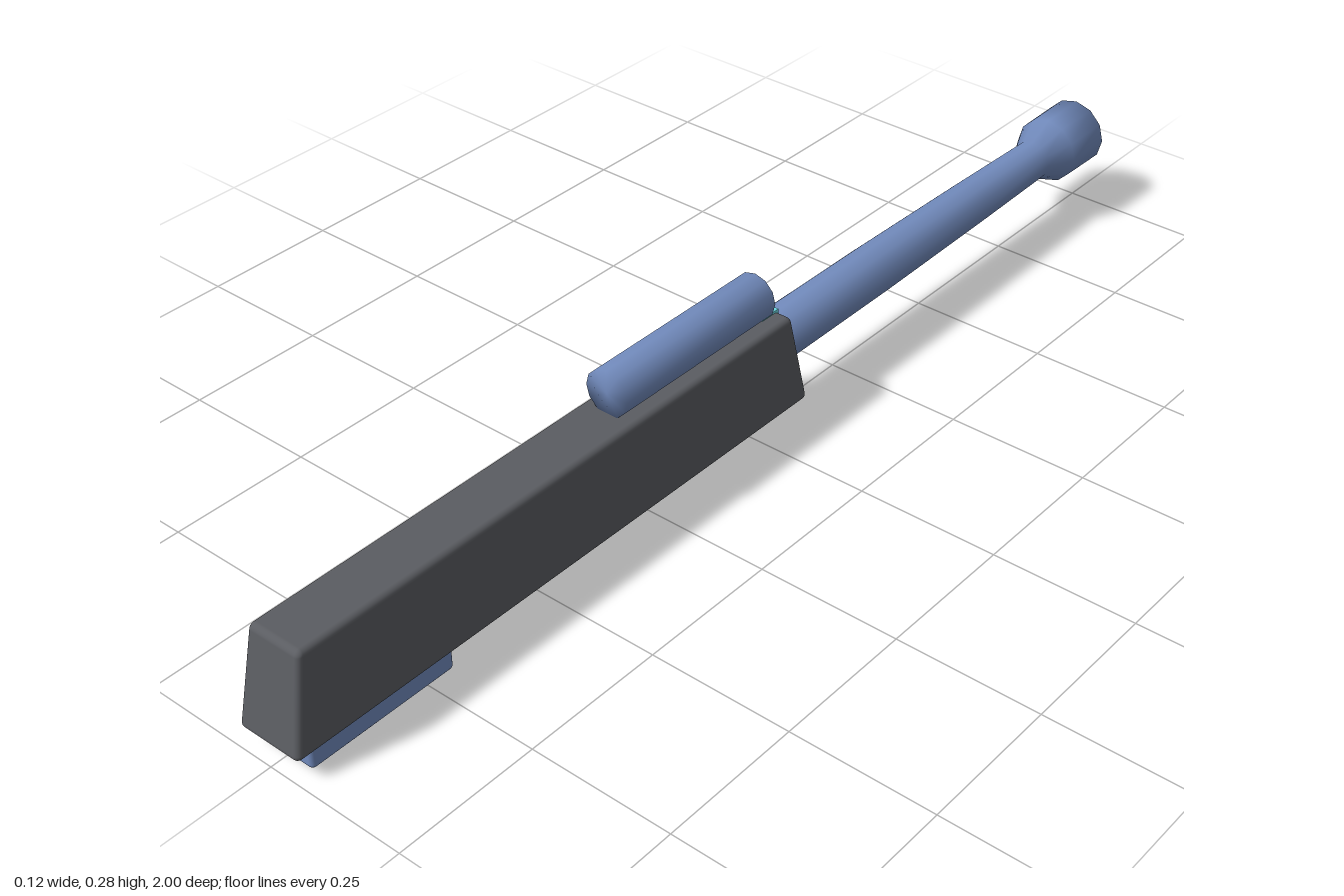
import * as THREE from 'three';
import { RoundedBoxGeometry } from 'three/addons/geometries/RoundedBoxGeometry.js';

const dark = new THREE.MeshStandardMaterial({ color: 0x5b5d62 });
const blue = new THREE.MeshStandardMaterial({ color: 0x728bbd });
const cyan = new THREE.MeshStandardMaterial({ color: 0x6fd8e2 });

// Rounded box whose sides lean in towards the top by insetX and insetZ.
function taperedBox(w, h, d, radius, insetX, insetZ) {
  const geo = new RoundedBoxGeometry(w, h, d, 3, radius);
  const p = geo.attributes.position, n = geo.attributes.normal;
  const v = new THREE.Vector3();
  for (let i = 0; i < p.count; i++) {
    const t = p.getY(i) / h + 0.5;
    p.setX(i, p.getX(i) * (1 - (2 * insetX * t) / w));
    p.setZ(i, p.getZ(i) * (1 - (2 * insetZ * t) / d));
    v.fromBufferAttribute(n, i);
    v.y += (Math.abs(v.x) * insetX + Math.abs(v.z) * insetZ) / h;
    v.normalize();
    n.setXYZ(i, v.x, v.y, v.z);
  }
  return geo;
}

// Turned part along z; the profile is [radius, distance towards the back].
function turned(profile, sides = 12) {
  const points = profile.map(([r, s]) => new THREE.Vector2(r, s));
  return new THREE.LatheGeometry(points, sides).rotateX(-Math.PI / 2);
}

export function createModel() {
  const model = new THREE.Group();
  const add = (name, geo, mat, x, y, z) => {
    const mesh = new THREE.Mesh(geo, mat);
    mesh.name = name;
    mesh.position.set(x, y, z);
    model.add(mesh);
  };

  // Long wedge-ended body
  add('body', taperedBox(0.12, 0.17, 1.105, 0.01, 0.01, 0.033), dark, 0, 0.125, 0.4475);

  // Block under the front end
  add('lowerBlock', taperedBox(0.102, 0.05, 0.27, 0.008, 0, 0), blue, 0, 0.027, 0.835);

  // Barrel with flared muzzle
  add('barrel', turned([
    [0, 0.03], [0.046, 0.03], [0.045, 0.35], [0.041, 0.64], [0.037, 0.84],
    [0.061, 0.89], [0.062, 0.984], [0, 0.984],
  ]), blue, 0, 0.143, 0);
  add('muzzleTip', new THREE.SphereGeometry(0.022, 12, 8), cyan, 0, 0.143, -0.978);

  // Sight tube and the small light behind it
  add('sightTube', turned([[0, -0.31], [0.041, -0.31], [0.041, 0.04], [0, 0.04]]), blue, 0, 0.246, 0);
  add('sightLight', new THREE.BoxGeometry(0.044, 0.014, 0.04), cyan, 0, 0.207, -0.052);

  return model;
}
